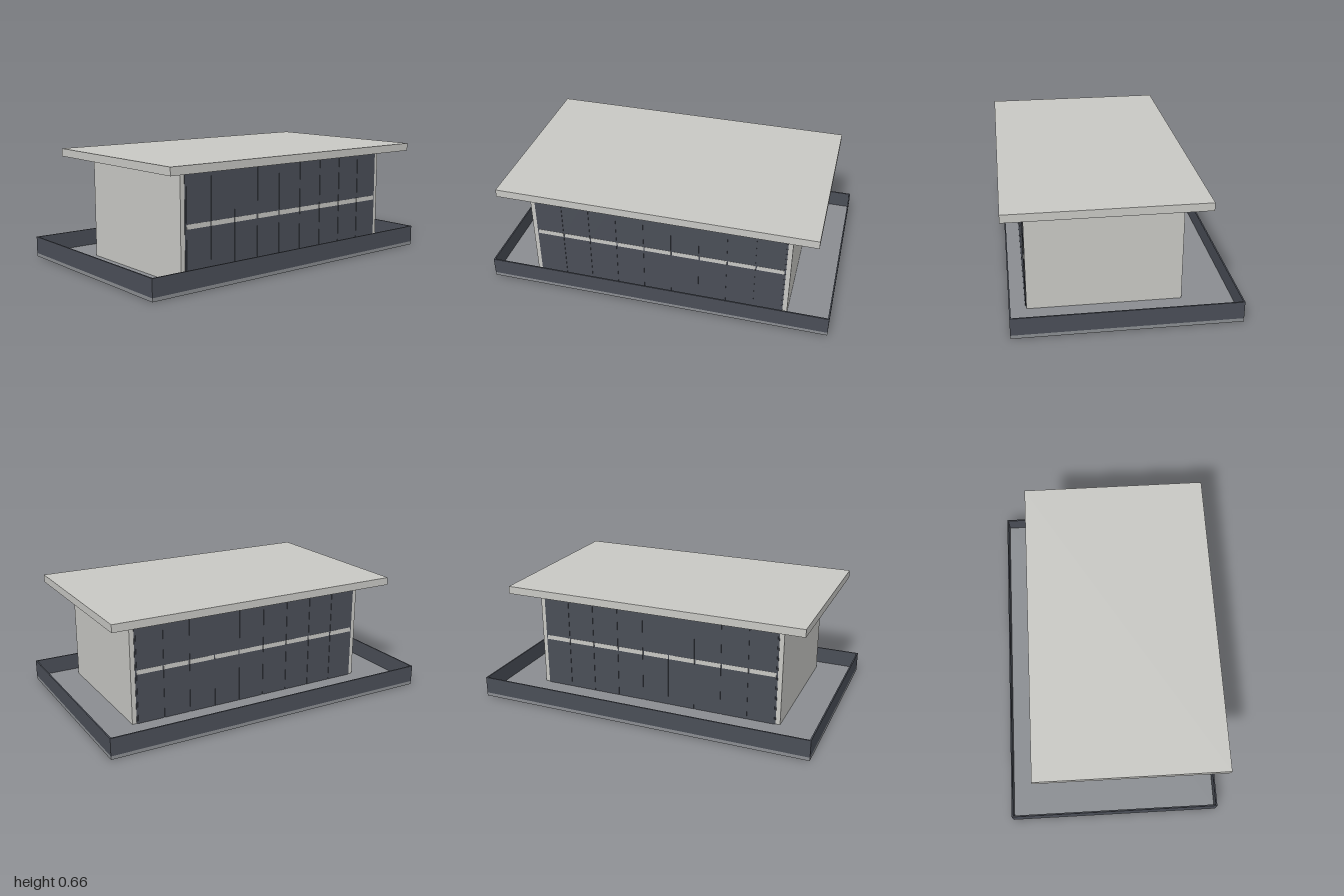
import * as THREE from 'three';

const material = (name, color) => {
  const m = new THREE.MeshStandardMaterial({ color });
  m.name = name;
  return m;
};

export function createModel() {
  const model = new THREE.Group();
  model.name = 'pavilion';
  const concrete = material('pale concrete', 0xc8c8c4);
  const dark = material('dark slate', 0x4a4e57);
  const paving = material('grey paving', 0x8a8d91);

  // Box given by its minimum and maximum on each axis
  const box = (name, mat, [x0, x1], [y0, y1], [z0, z1], parent = model) => {
    const mesh = new THREE.Mesh(new THREE.BoxGeometry(x1 - x0, y1 - y0, z1 - z0), mat);
    mesh.position.set((x0 + x1) / 2, (y0 + y1) / 2, (z0 + z1) / 2);
    mesh.name = name;
    parent.add(mesh);
  };

  const slabTop = 0.02, eaves = 0.615;
  const back = -0.627, front = 0.607, rim = 0.008;

  // Terrace slab and the low parapet around it
  box('terraceSlab', paving, [-1, 1], [0, slabTop], [back, front]);
  box('parapetFront', dark, [-1, 1], [slabTop, 0.12], [front - rim, front]);
  box('parapetBack', dark, [-1, 1], [slabTop, 0.12], [back, back + rim]);
  box('parapetLeft', dark, [1 - rim, 1], [slabTop, 0.12], [back + rim, front - rim]);
  box('parapetRight', dark, [-1, -1 + rim], [slabTop, 0.12], [back + rim, front - rim]);

  // Overhanging roof and the two solid end walls
  box('roof', concrete, [-0.9, 0.9], [eaves, 0.66], [-0.46, 0.63]);
  box('wallLeft', concrete, [0.727, 0.757], [slabTop, eaves], [-0.341, 0.512]);
  box('wallRight', concrete, [-0.757, -0.727], [slabTop, eaves], [-0.341, 0.512]);

  // Glazed facades: nine bays, each with two panes and a rail between
  const bays = 9, halfWidth = 0.727, gap = 0.004;
  const pitch = 2 * halfWidth / bays;
  for (const [side, face, dir] of [['front', 0.519, 1], ['back', -0.348, -1]]) {
    const facade = new THREE.Group();
    facade.name = side + 'Facade';
    model.add(facade);
    const depth = (outer, inner) => [face - dir * outer, face - dir * inner].sort((a, b) => a - b);
    for (let i = 0; i < bays; i++) {
      const x = [-halfWidth + i * pitch + gap, -halfWidth + (i + 1) * pitch - gap];
      box('lowerPane', dark, x, [slabTop, 0.31], depth(0.001, 0.01), facade);
      box('rail', concrete, x, [0.31, 0.336], depth(0, 0.01), facade);
      box('upperPane', dark, x, [0.336, eaves], depth(0.001, 0.01), facade);
    }
    // Recessed mullions in the joints
    for (let i = 0; i <= bays; i++) {
      const x = -halfWidth + i * pitch;
      box('mullion', dark, [x - gap, x + gap], [slabTop, eaves], depth(0.004, 0.01), facade);
    }
  }
  return model;
}
